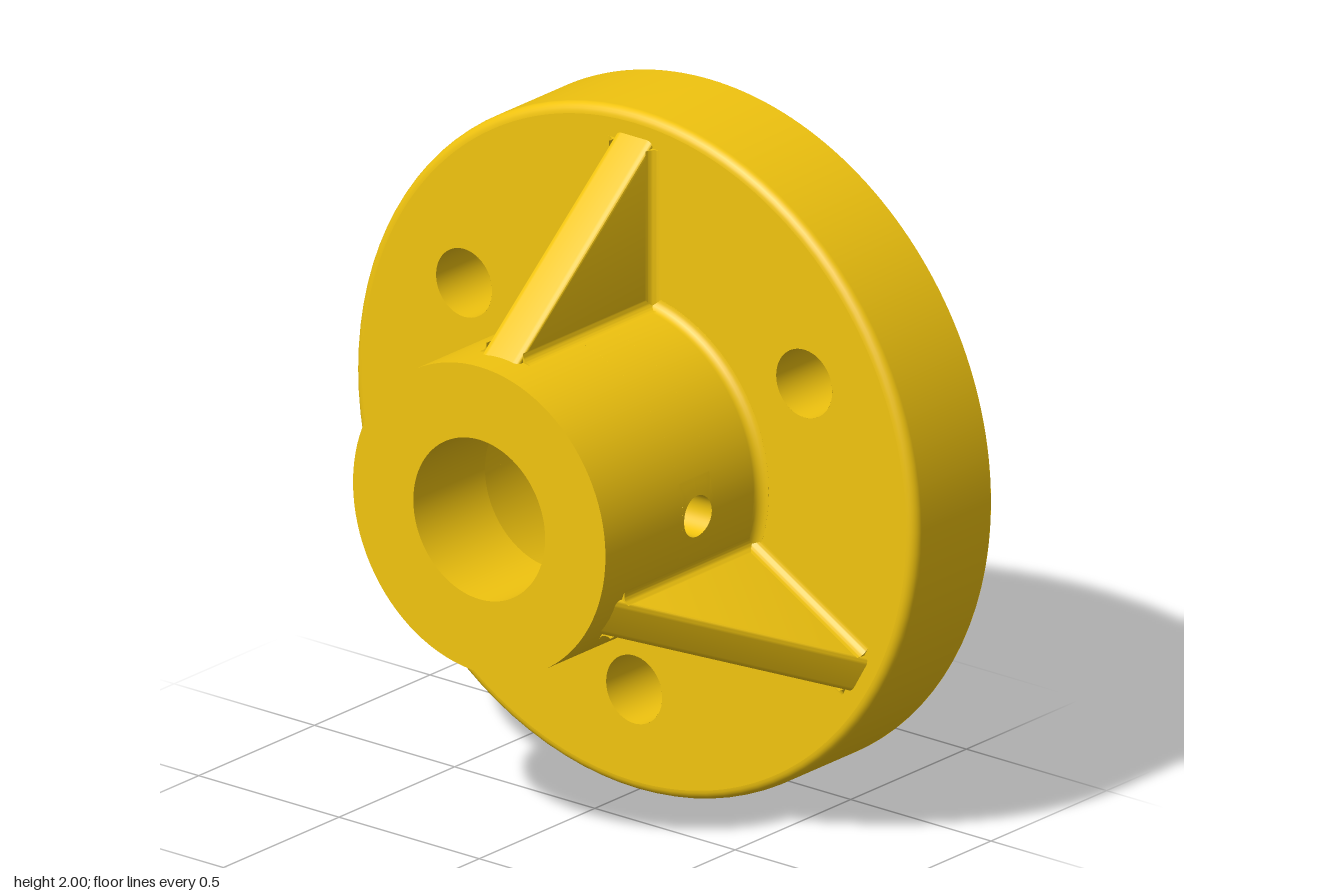
import * as THREE from 'three';
import { toCreasedNormals } from 'three/addons/utils/BufferGeometryUtils.js';

const BACK = -0.5, FACE = -0.17, FRONT = 0.5;   // flange back, flange face, hub end
const HUB = 0.45, BORE = 0.235, F = 0.03;       // hub radius, bore radius, fillet radius
const PIN = { z: 0.1, r: 0.06, a: 0.25, h: 0.065 }; // radial hole and the patch around it
const RIB = { half: 0.065, top: 0.41, tip: 0.93 };
const SEG = 96;

const material = new THREE.MeshStandardMaterial({ color: 0xf1c40f, side: THREE.DoubleSide });
const coneRadius = (z) => 0.42 - (z - BACK) * 0.2;

function add(parent, name, geometry) {
  const mesh = new THREE.Mesh(geometry, material);
  mesh.name = name;
  parent.add(mesh);
  return mesh;
}

// Surface of revolution about z from [radius, z] points; gap leaves an opening at +x
function turned(points, gap = 0) {
  const profile = points.map(([r, z]) => new THREE.Vector2(r, z));
  return new THREE.LatheGeometry(profile, SEG, Math.PI / 2 + gap, Math.PI * 2 - 2 * gap)
    .rotateX(Math.PI / 2);
}

// Points of an arc in the [radius, z] plane
function arc(cr, cz, radius, from, to, n = 6) {
  return Array.from({ length: n + 1 }, (_, i) => {
    const t = from + (to - from) * i / n;
    return [cr + radius * Math.cos(t), cz + radius * Math.sin(t)];
  });
}

// Grid surface from a function of (u, v)
function grid(nu, nv, point, flip = false) {
  const positions = [], index = [];
  for (let i = 0; i <= nu; i++)
    for (let j = 0; j <= nv; j++) positions.push(...point(i / nu, j / nv));
  for (let i = 0; i < nu; i++)
    for (let j = 0; j < nv; j++) {
      const a = i * (nv + 1) + j, b = a + 1, c = a + nv + 1, d = c + 1;
      if (flip) index.push(a, d, b, a, c, d);
      else index.push(a, b, d, a, d, c);
    }
  const g = new THREE.BufferGeometry();
  g.setAttribute('position', new THREE.Float32BufferAttribute(positions, 3));
  g.setIndex(index);
  g.computeVertexNormals();
  return g;
}

// Point on a round wall between the pin hole edge (v = 0) and the patch border (v = 1)
function pinPatch(radiusAt) {
  return (u, v) => {
    const t = u * Math.PI * 2, c = Math.cos(t), s = Math.sin(t);
    const m = Math.max(Math.abs(c), Math.abs(s));
    const z = THREE.MathUtils.lerp(PIN.z + PIN.r * s, PIN.z + PIN.h * s / m, v);
    const r = radiusAt(z);
    const edge = Math.asin(PIN.r * c / radiusAt(PIN.z + PIN.r * s));
    const angle = THREE.MathUtils.lerp(edge, PIN.a * c / m, v);
    return [r * Math.cos(angle), r * Math.sin(angle), z];
  };
}

const boltCentres = [30, 150, 270].map((deg) => {
  const t = THREE.MathUtils.degToRad(deg);
  return [0.7 * Math.cos(t), 0.7 * Math.sin(t)];
});

// Flat ring pierced by the bolt holes
function boltedRing(outer, inner) {
  const shape = new THREE.Shape().absarc(0, 0, outer, 0, Math.PI * 2);
  shape.holes.push(new THREE.Path().absarc(0, 0, inner, 0, Math.PI * 2, true));
  for (const [x, y] of boltCentres)
    shape.holes.push(new THREE.Path().absarc(x, y, 0.1, 0, Math.PI * 2, true));
  return new THREE.ShapeGeometry(shape, SEG);
}

// Concave fillet strip lying between directions u and v, running along w
function filletStrip(length, u, v, w, origin) {
  const s = new THREE.Shape();
  s.moveTo(0, 0);
  s.lineTo(F, 0);
  s.absarc(F, F, F, -Math.PI / 2, -Math.PI, true);
  s.lineTo(0, 0);
  const g = new THREE.ExtrudeGeometry(s, { depth: length, bevelEnabled: false, curveSegments: 6 });
  const m = new THREE.Matrix4().makeBasis(u, v, w).setPosition(...origin);
  return toCreasedNormals(g.applyMatrix4(m), 0.6);
}

function createRib() {
  const rib = new THREE.Group();
  rib.name = 'rib';

  // Triangular web with softened edges, rooted inside hub and flange
  const slope = (RIB.top - FACE) / (RIB.tip - HUB), root = 0.4, low = -0.22;
  const web = new THREE.Shape([
    new THREE.Vector2(root, low),
    new THREE.Vector2(RIB.tip + (FACE - low) / slope, low),
    new THREE.Vector2(root, RIB.top + (HUB - root) * slope),
  ]);
  const bevel = 0.02, depth = 2 * (RIB.half - bevel);
  const g = new THREE.ExtrudeGeometry(web, {
    depth, bevelThickness: bevel, bevelSize: bevel, bevelOffset: -bevel, bevelSegments: 4,
  });
  g.translate(0, 0, -depth / 2).rotateX(Math.PI / 2);
  add(rib, 'ribWeb', toCreasedNormals(g, 0.6));

  // Fillets along the flange and along the hub, both sides
  const X = new THREE.Vector3(1, 0, 0), Z = new THREE.Vector3(0, 0, 1);
  for (const side of [1, -1]) {
    const out = new THREE.Vector3(0, side, 0);
    const y = side * RIB.half;
    const [fu, fv] = side > 0 ? [out, Z] : [Z, out];
    const [hu, hv] = side > 0 ? [X, out] : [out, X];
    add(rib, 'ribFlangeFillet', filletStrip(RIB.tip - HUB - 0.02, fu, fv, X, [HUB, y, FACE]));
    add(rib, 'ribHubFillet', filletStrip(RIB.top - FACE - 0.02, hu, hv, Z, [0.442, y, FACE]));
  }
  return rib;
}

export function createModel() {
  const model = new THREE.Group();
  model.name = 'flangedHub';
  const body = new THREE.Group();
  body.name = 'body';
  body.position.y = 1;
  model.add(body);

  // Flange
  add(body, 'flangeRim', turned([[1, BACK], ...arc(1 - F, FACE - F, F, 0, Math.PI / 2)]));
  add(body, 'flangeFace', boltedRing(1 - F, HUB + F).translate(0, 0, FACE));
  add(body, 'flangeBack', boltedRing(1, coneRadius(BACK)).rotateY(Math.PI).translate(0, 0, BACK));
  for (const [x, y] of boltCentres) {
    const hole = new THREE.CylinderGeometry(0.1, 0.1, FACE - BACK, 48, 1, true).rotateX(Math.PI / 2);
    add(body, 'boltHole', hole.translate(x, y, (FACE + BACK) / 2));
  }

  // Hub outside, opened at the pin hole
  const z0 = PIN.z - PIN.h, z1 = PIN.z + PIN.h;
  const foot = arc(HUB + F, FACE + F, F, -Math.PI / 2, -Math.PI);
  add(body, 'hubFoot', turned([...foot, [HUB, z0]]));
  add(body, 'hubBand', turned([[HUB, z0], [HUB, z1]], PIN.a));
  add(body, 'hubWall', turned([[HUB, z1], [HUB, FRONT]]));
  add(body, 'hubFace', turned([[HUB, FRONT], [BORE, FRONT]]));

  // Bore: straight at the front, step, then widening to the back
  const step = 0.19, rz = coneRadius(z1);
  add(body, 'bore', turned([[BORE, FRONT], [BORE, step]]));
  add(body, 'boreStep', turned([[BORE, step], ...arc(rz - 0.025, step - 0.025, 0.025, Math.PI / 2, 0)]));
  add(body, 'taperBand', turned([[rz, z1], [coneRadius(z0), z0]], PIN.a));
  add(body, 'taperBore', turned([[coneRadius(z0), z0], [coneRadius(BACK), BACK]]));

  // Pin hole through one wall of the hub
  const outer = pinPatch(() => HUB), inner = pinPatch(coneRadius);
  add(body, 'pinHoleOuterEdge', grid(48, 3, outer));
  add(body, 'pinHoleInnerEdge', grid(48, 3, inner, true));
  add(body, 'pinHole', grid(48, 1, (u, v) => {
    const a = inner(u, 0), b = outer(u, 0);
    return a.map((n, k) => THREE.MathUtils.lerp(n, b[k], v));
  }, false));

  // Three stiffening ribs
  for (const deg of [90, 210, 330]) {
    const rib = createRib();
    rib.rotation.z = THREE.MathUtils.degToRad(deg);
    body.add(rib);
  }
  return model;
}
